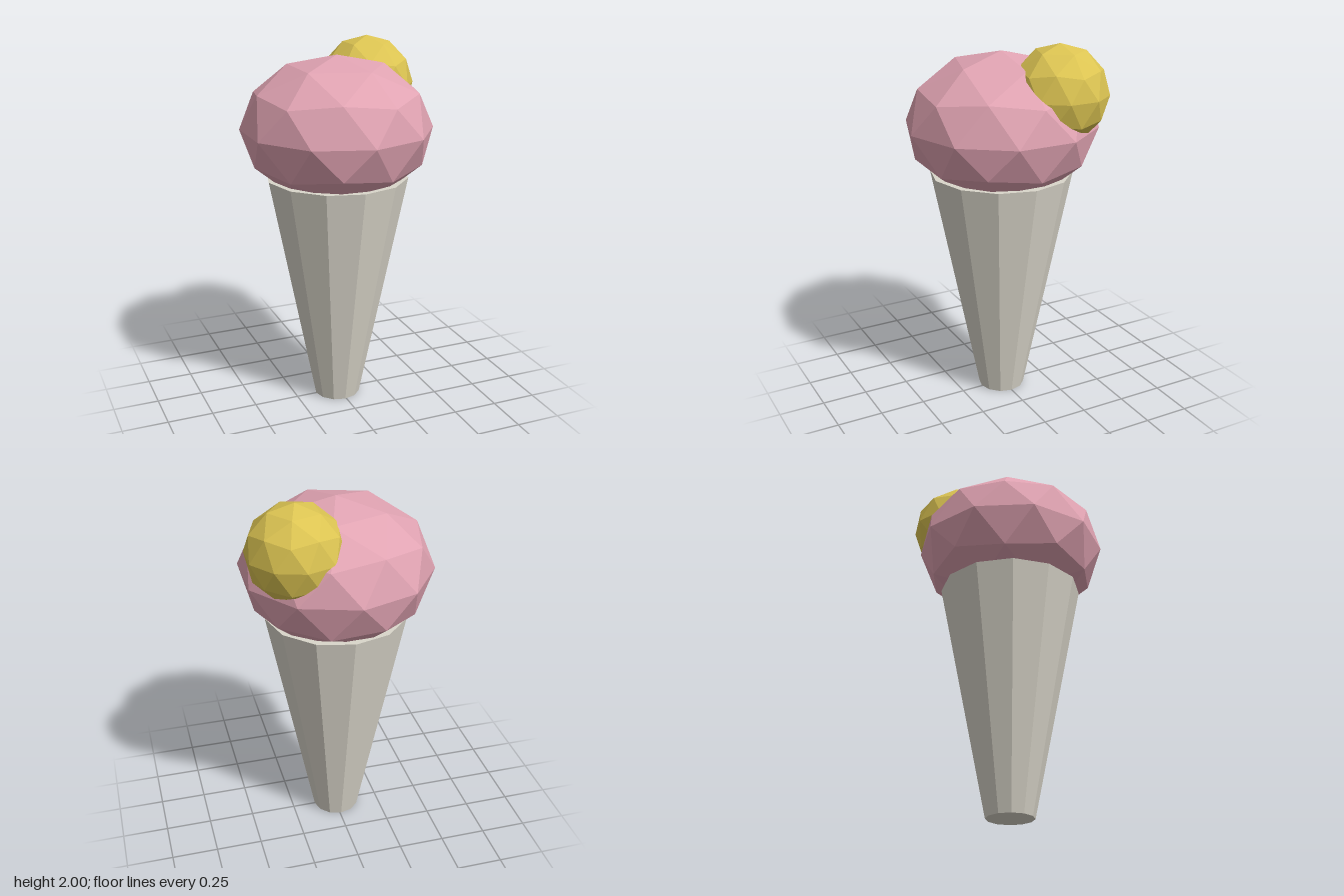
import * as THREE from 'three';

const material = (name, color) => {
  const m = new THREE.MeshStandardMaterial({ color, flatShading: true });
  m.name = name;
  return m;
};

// Faceted ball standing on one of its corners, optionally squashed in height
function scoop(name, mat, radius, heightScale, x, y, z) {
  const geo = new THREE.IcosahedronGeometry(radius, 1);
  geo.rotateZ(-Math.atan(2 / (1 + Math.sqrt(5))));
  geo.scale(1, heightScale, 1);
  geo.computeVertexNormals();
  const mesh = new THREE.Mesh(geo, mat);
  mesh.name = name;
  mesh.position.set(x, y, z);
  return mesh;
}

export function createModel() {
  const group = new THREE.Group();
  group.name = 'iceCream';

  const waferMat = material('pale wafer', 0xdad6ca);
  const pinkMat = material('strawberry pink', 0xe0a3b2);
  const yellowMat = material('lemon yellow', 0xdcc452);

  // Twelve-sided tapered cone, closed at both ends
  const height = 1.29;
  const cone = new THREE.Mesh(new THREE.CylinderGeometry(0.385, 0.128, height, 12), waferMat);
  cone.name = 'cone';
  cone.position.set(-0.007, height / 2, 0);
  group.add(cone);

  // Large squashed scoop and the small ball sunk into its back left
  group.add(scoop('largeScoop', pinkMat, 0.515, 0.751, -0.007, 1.55, 0));
  group.add(scoop('smallScoop', yellowMat, 0.257, 1, 0.25, 1.743, -0.198));

  return group;
}
